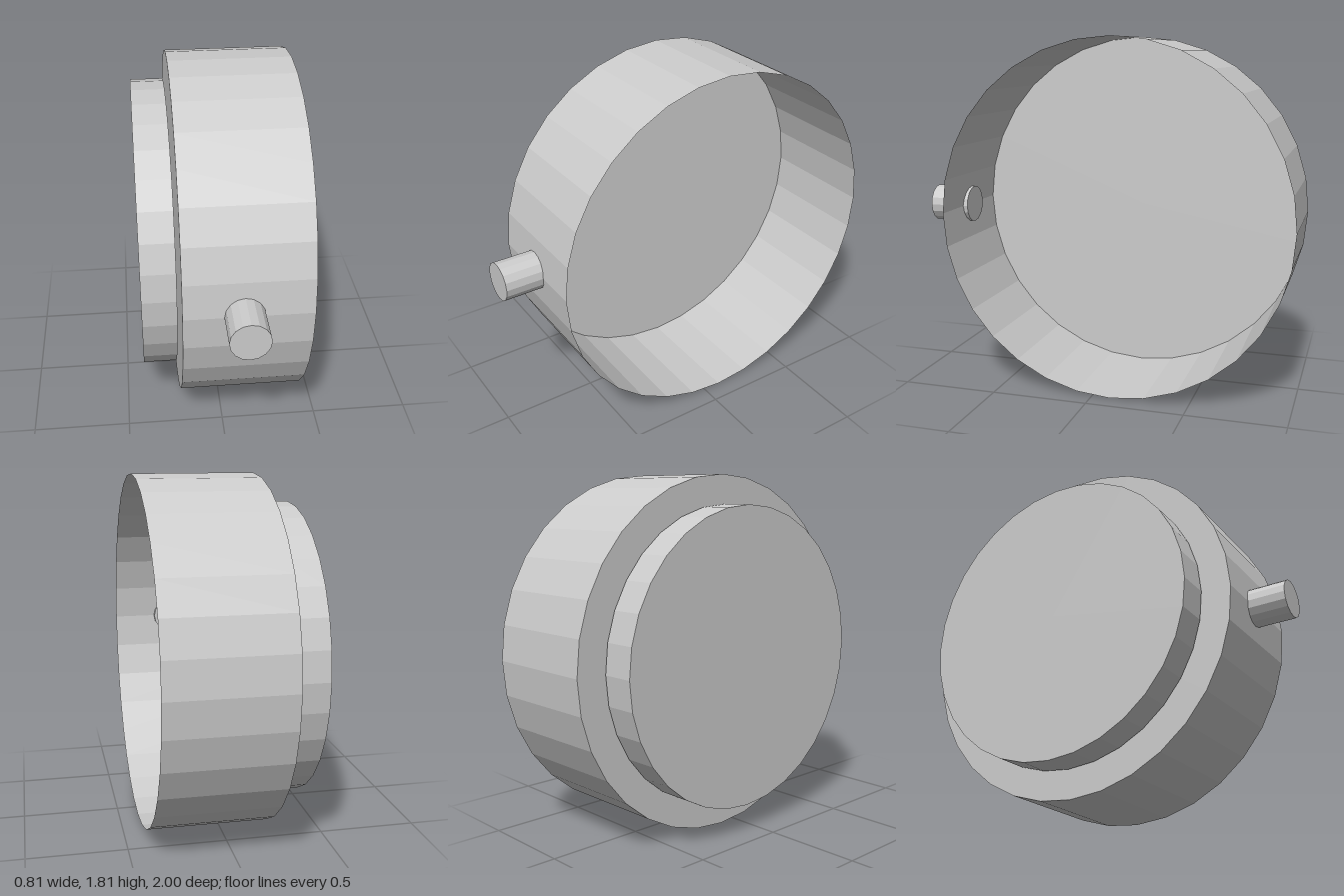
import * as THREE from 'three';

const CY = 0.905, CZ = -0.095;

export function createModel() {
  const group = new THREE.Group();
  const solid = new THREE.MeshStandardMaterial({ color: 0xcccccc, flatShading: true });
  const thin = new THREE.MeshStandardMaterial({ color: 0xcccccc, flatShading: true, side: THREE.DoubleSide });

  const add = (name, geometry, material, x, y, z) => {
    const mesh = new THREE.Mesh(geometry, material);
    mesh.name = name;
    mesh.position.set(x, y, z);
    group.add(mesh);
  };

  // Cylinder lying along x
  const along = (r, length, open) =>
    new THREE.CylinderGeometry(r, r, length, 32, 1, open).rotateZ(-Math.PI / 2);

  // Thin-walled cup, open towards +x
  add('cupWall', along(0.905, 0.62, true), thin, 0.09, CY, CZ);
  add('cupFloor', new THREE.CircleGeometry(0.905, 32).rotateY(-Math.PI / 2), thin, -0.22, CY, CZ);

  // Separate disc just behind the closed end
  add('backDisc', along(0.758, 0.17, false), solid, -0.32, CY, CZ);

  // Peg passing through the front of the wall
  const peg = new THREE.CylinderGeometry(0.097, 0.097, 0.215, 16).rotateX(Math.PI / 2);
  add('sidePeg', peg, solid, 0.07, CY, 0.8925);

  return group;
}
